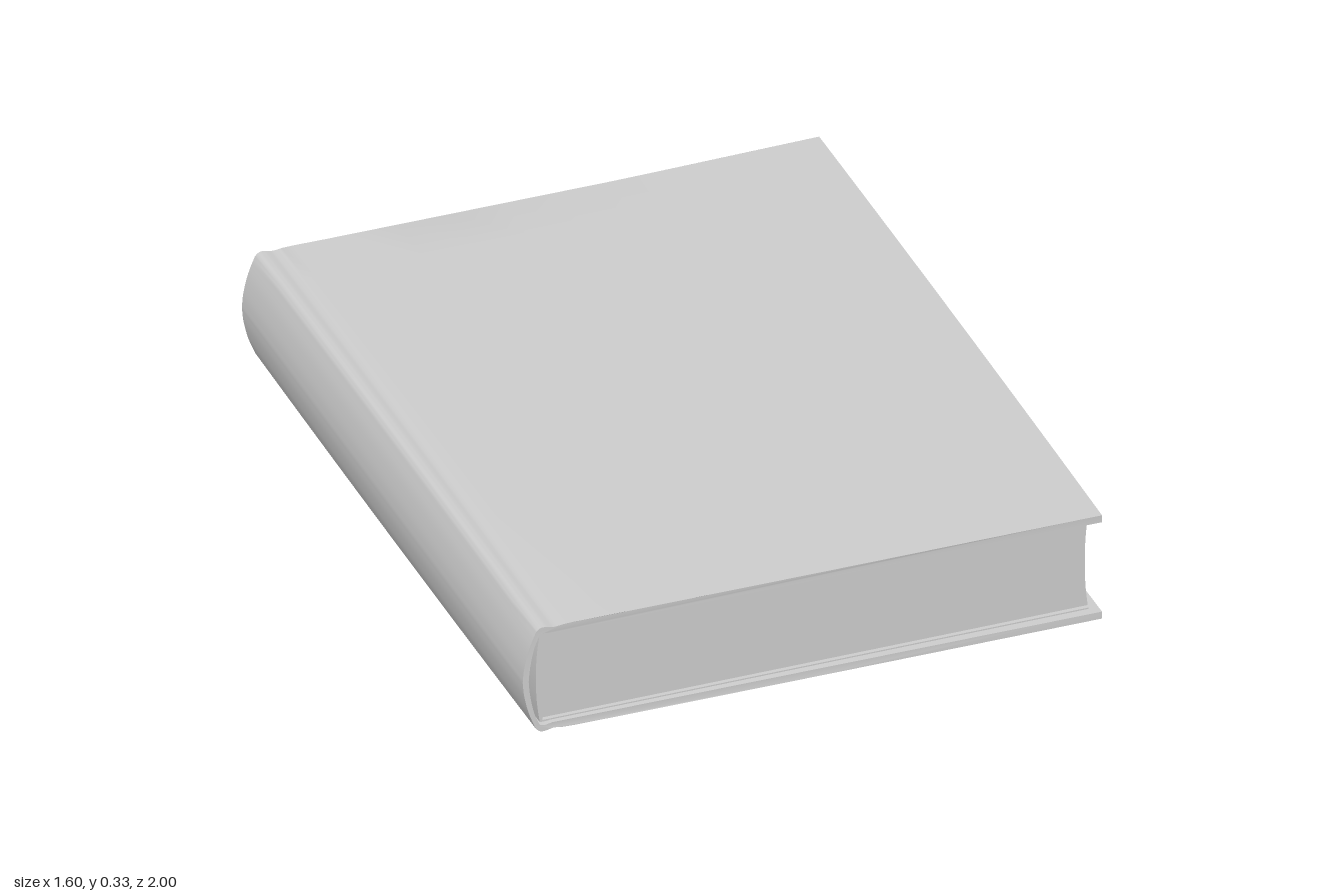
import * as THREE from 'three';
import { toCreasedNormals } from 'three/addons/utils/BufferGeometryUtils.js';

const MID = 0.1625; // half height of the book
const v = (x, y) => new THREE.Vector2(x, y);
const mirror = (pts) => pts.map((p) => v(p.x, 2 * MID - p.y)).reverse();

// Points of a smooth curve through the given pairs
const smooth = (pairs, n) => new THREE.SplineCurve(pairs.map(([x, y]) => v(x, y))).getPoints(n);

// Extrude an outline between two depths, warp it by a rule and keep its edges crisp
function sweep(points, z0, z1, steps, warp) {
  const geo = new THREE.ExtrudeGeometry(new THREE.Shape(points), { depth: z1 - z0, steps, bevelEnabled: false });
  geo.translate(0, 0, z0);
  if (warp) {
    const pos = geo.attributes.position;
    for (let i = 0; i < pos.count; i++) {
      const p = new THREE.Vector3().fromBufferAttribute(pos, i);
      warp(p);
      pos.setXYZ(i, p.x, p.y, p.z);
    }
  }
  return toCreasedNormals(geo, 0.5);
}

export function createModel() {
  const book = new THREE.Group();
  book.name = 'book';
  const material = new THREE.MeshStandardMaterial({ color: 0xcccccc, side: THREE.DoubleSide });
  const add = (name, geo) => {
    const mesh = new THREE.Mesh(geo, material);
    mesh.name = name;
    book.add(mesh);
  };

  // Cover: two boards joined by a hollow rounded spine, with a faint hinge groove
  const boardTop = [];
  for (let i = 0; i <= 10; i++) boardTop.push(v(0.8 - 0.146 * i, 0.319));
  const hinge = smooth([[-0.69, 0.318], [-0.715, 0.315], [-0.735, 0.319], [-0.752, 0.319], [-0.764, 0.309]], 12);
  const spineTop = smooth([[-0.764, 0.309], [-0.783, 0.26], [-0.796, 0.205], [-0.8, MID]], 12).slice(1);
  const outer = [...boardTop, ...hinge, ...spineTop];
  const inner = [
    ...smooth([[-0.784, MID], [-0.78, 0.205], [-0.769, 0.26], [-0.753, 0.3]], 12),
    v(-0.74, 0.302), v(-0.72, 0.298), v(0.8, 0.298),
  ];
  const outline = [...outer, ...mirror(outer).slice(1), ...mirror(inner), ...inner.slice(1)];
  add('cover', sweep(outline, -1, 1, 12, (p) => {
    const side = Math.max(-1, Math.min(1, (p.y - MID) / 0.1));
    p.y += side * 0.006 * (1 - p.z * p.z);       // boards swell slightly
    const u = (p.x + 0.8) / 1.6;
    const front = 0.985 + 0.015 * Math.sqrt(Math.min(1, Math.max(0, u)));
    const back = 1 - 0.01 * Math.sin(Math.PI * u);
    p.z *= p.z > 0 ? front : back;               // edges bow a little
  }));

  // Page block: convex at the spine, concave at the opening edge
  const foreEdge = smooth([[0.775, 0.031], [0.769, 0.09], [0.767, MID], [0.769, 0.235], [0.775, 0.295]], 16);
  const backEdge = smooth([[-0.745, 0.298], [-0.753, 0.235], [-0.756, MID], [-0.753, 0.09], [-0.745, 0.028]], 16);
  add('pageBlock', sweep([...foreEdge, ...backEdge], -0.946, 0.962, 1));

  // Spine lining: thin strip hugging the back of the pages
  const liningIn = backEdge.map((p) => v(p.x + 0.004, p.y)).reverse();
  const liningOut = backEdge.map((p) => v(p.x - 0.005, p.y));
  add('spineLining', sweep([...liningIn, ...liningOut], -0.97, 0.978, 1));

  // Endpapers: thin sheets against the inside of each board
  for (const [name, y] of [['upperEndpaper', 0.297], ['lowerEndpaper', 2 * MID - 0.297]]) {
    const geo = new THREE.BoxGeometry(1.515, 0.005, 1.94);
    geo.translate(0.015, y, 0.004);
    add(name, geo);
  }

  return book;
}
